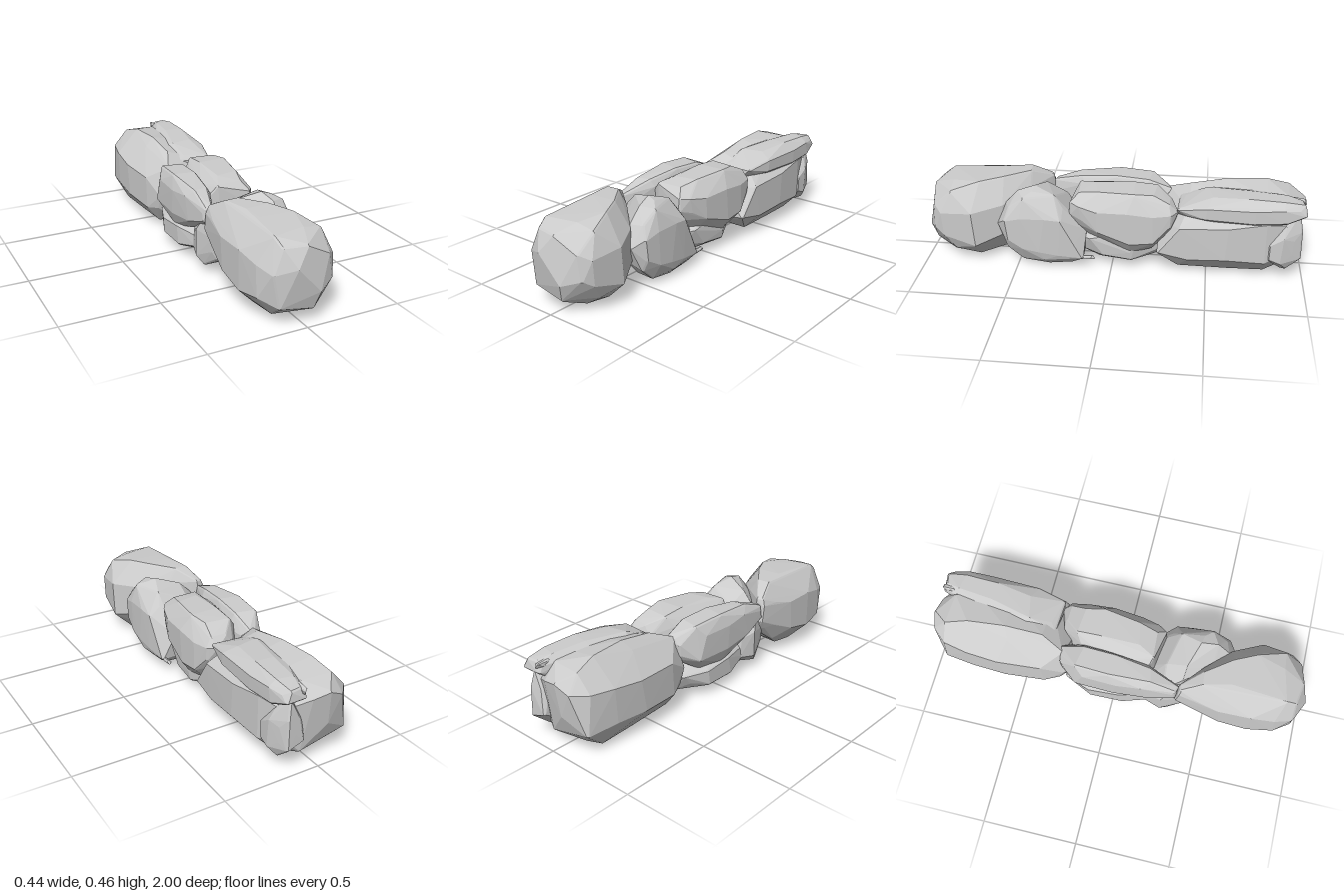
import * as THREE from 'three';
import { ConvexGeometry } from 'three/addons/geometries/ConvexGeometry.js';

const material = new THREE.MeshStandardMaterial({ color: 0xcccccc, flatShading: true });

// Small seeded generator for the uneven corners
function makeRandom(seed) {
  let s = seed;
  return () => (s = (s * 16807) % 2147483647) / 2147483647;
}

// A stone is the hull of chamfered cross-sections [z, x0, x1, y0, y1] and extra corners,
// each corner blunted by a small octahedron to give narrow bevels.
function stone(name, seed, rings, corners = [], { bevel = 0.008, chamfer = 0.14 } = {}) {
  const random = makeRandom(seed * 7919 + 13);
  const points = corners.map((c) => new THREE.Vector3(...c));
  for (const [z, x0, x1, y0, y1] of rings) {
    const w = x1 - x0, h = y1 - y0;
    for (const sx of [0, 1]) for (const sy of [0, 1]) {
      const cx = w * (chamfer + 0.16 * random()), cy = h * (chamfer + 0.16 * random());
      const dz = (random() - 0.5) * 0.05;
      const ex = sx ? x1 : x0, ey = sy ? y1 : y0;
      points.push(new THREE.Vector3(ex + (sx ? -cx : cx), ey, z + dz));
      points.push(new THREE.Vector3(ex, ey + (sy ? -cy : cy), z - dz));
    }
  }
  const blunted = [];
  const box = new THREE.Box3().setFromPoints(points);
  const centre = box.getCenter(new THREE.Vector3());
  const half = box.getSize(new THREE.Vector3()).multiplyScalar(0.5);
  for (const p of points) {
    // Pull corners in so that the bevel keeps the overall size
    for (const a of ['x', 'y', 'z']) p[a] = centre[a] + (p[a] - centre[a]) * Math.max(0.5, 1 - bevel / half[a]);
    for (const a of ['x', 'y', 'z']) for (const s of [-bevel, bevel]) {
      const q = p.clone();
      q[a] += s;
      blunted.push(q);
    }
  }
  const mesh = new THREE.Mesh(new ConvexGeometry(blunted), material);
  mesh.name = name;
  return mesh;
}

export function createModel() {
  const wall = new THREE.Group();
  wall.name = 'stoneRow';

  // Front end stone, with a faceted face and a slanted back that rises from the ground
  wall.add(stone('frontStone', 1, [
    [0.88, -0.195, 0.185, 0.035, 0.425],
    [0.72, -0.215, 0.205, 0.015, 0.44],
    [0.58, -0.218, 0.12, 0.025, 0.447],
    [0.45, -0.2, -0.02, 0.1, 0.445],
    [0.35, -0.19, -0.14, 0.21, 0.39],
  ], [
    [-0.06, 0.3, 1.0], [0.07, 0.16, 0.995], [-0.16, 0.27, 0.955],
    [-0.13, 0.1, 0.965], [0.05, 0.07, 0.97], [0.16, 0.19, 0.945],
    [0.14, 0.32, 0.945], [0.01, 0.39, 0.965], [-0.11, 0.39, 0.945],
    [0.15, 0.405, 0.85], [0.16, 0.07, 0.84],
  ], { chamfer: 0.19 }));

  // Rounded stone wedged behind it on the right
  wall.add(stone('rightFrontStone', 2, [
    [0.55, 0.09, 0.2, 0.1, 0.34],
    [0.47, 0.01, 0.21, 0.03, 0.4],
    [0.36, -0.1, 0.212, 0.005, 0.395],
    [0.26, -0.14, 0.205, 0.008, 0.34],
    [0.16, -0.08, 0.19, 0.03, 0.2],
  ], [
    [0.15, 0.23, 0.605], [0.07, 0.0, 0.33], [0.16, 0.008, 0.33],
    [0.09, 0.435, 0.41], [0.14, 0.42, 0.42], [0.11, 0.41, 0.5],
    [0.13, 0.4, 0.3], [0.17, 0.37, 0.5], [0.2, 0.045, 0.35], [0.17, 0.03, 0.2],
  ]));

  // Upper middle stone on the right
  wall.add(stone('rightMiddleStone', 3, [
    [0.18, -0.08, 0.16, 0.24, 0.41],
    [0.08, -0.08, 0.19, 0.15, 0.43],
    [-0.1, -0.07, 0.205, 0.095, 0.44],
    [-0.22, -0.04, 0.2, 0.125, 0.43],
    [-0.31, 0.03, 0.18, 0.23, 0.39],
  ], [[0.14, 0.35, -0.345], [0.13, 0.37, 0.22], [0.13, 0.3, 0.225]]));

  // Long narrow stone along the left
  wall.add(stone('leftMiddleStone', 4, [
    [0.33, -0.19, -0.14, 0.28, 0.36],
    [0.18, -0.21, -0.08, 0.2, 0.41],
    [0.0, -0.22, -0.05, 0.15, 0.43],
    [-0.18, -0.215, -0.03, 0.16, 0.42],
    [-0.29, -0.15, -0.05, 0.25, 0.37],
  ]));

  // Low stones underneath the middle
  wall.add(stone('baseStone', 5, [
    [0.18, -0.17, 0.1, 0.06, 0.2],
    [0.06, -0.205, 0.15, 0.025, 0.22],
    [-0.12, -0.21, 0.16, 0.025, 0.2],
    [-0.25, -0.16, 0.1, 0.06, 0.18],
  ], [[0.165, 0.1, -0.1], [0.15, 0.17, 0.12]]));
  wall.add(stone('leftFillerStone', 6, [
    [0.38, -0.16, -0.05, 0.1, 0.26],
    [0.28, -0.2, -0.05, 0.04, 0.3],
    [0.18, -0.17, -0.06, 0.06, 0.24],
  ]));

  // Large rear stone
  wall.add(stone('rearStone', 8, [
    [-0.27, -0.165, 0.16, 0.08, 0.26],
    [-0.37, -0.2, 0.208, 0.03, 0.36],
    [-0.6, -0.222, 0.215, 0.014, 0.41],
    [-0.8, -0.215, 0.2, 0.015, 0.425],
    [-0.92, -0.19, 0.16, 0.06, 0.42],
  ], [
    [-0.07, 0.455, -0.6], [-0.09, 0.455, -0.8], [-0.05, 0.38, -1.0],
    [0.04, 0.36, -0.985], [-0.13, 0.34, -0.985], [-0.06, 0.2, -0.98],
    [0.2, 0.13, -0.24], [-0.11, 0.37, -0.28], [-0.06, 0.42, -0.4], [0.02, 0.43, -0.75],
  ]));

  // Slab resting on its upper right side
  wall.add(stone('rearTopSlab', 9, [
    [-0.36, -0.01, 0.17, 0.335, 0.385],
    [-0.5, -0.03, 0.2, 0.305, 0.435],
    [-0.72, 0.0, 0.208, 0.295, 0.45],
    [-0.88, 0.04, 0.203, 0.32, 0.445],
    [-0.97, 0.08, 0.185, 0.37, 0.43],
  ]));

  // Small teardrop stone at the rear right corner
  wall.add(stone('rearCornerStone', 10, [
    [-0.82, 0.08, 0.2, 0.1, 0.24],
    [-0.89, 0.06, 0.203, 0.06, 0.32],
    [-0.96, 0.07, 0.18, 0.12, 0.28],
  ], [[0.14, 0.05, -0.88], [0.14, 0.375, -0.96], [0.12, 0.2, -0.98]]));

  // Pebbles caught in the joints
  wall.add(stone('sidePebble', 11, [
    [0.15, 0.165, 0.185, 0.055, 0.075],
    [0.1, 0.165, 0.185, 0.06, 0.08],
  ], [], { bevel: 0.004 }));
  wall.add(stone('rearPebble', 12, [
    [-0.965, 0.07, 0.1, 0.4, 0.425],
    [-0.93, 0.07, 0.1, 0.41, 0.435],
  ], [], { bevel: 0.004 }));

  return wall;
}
